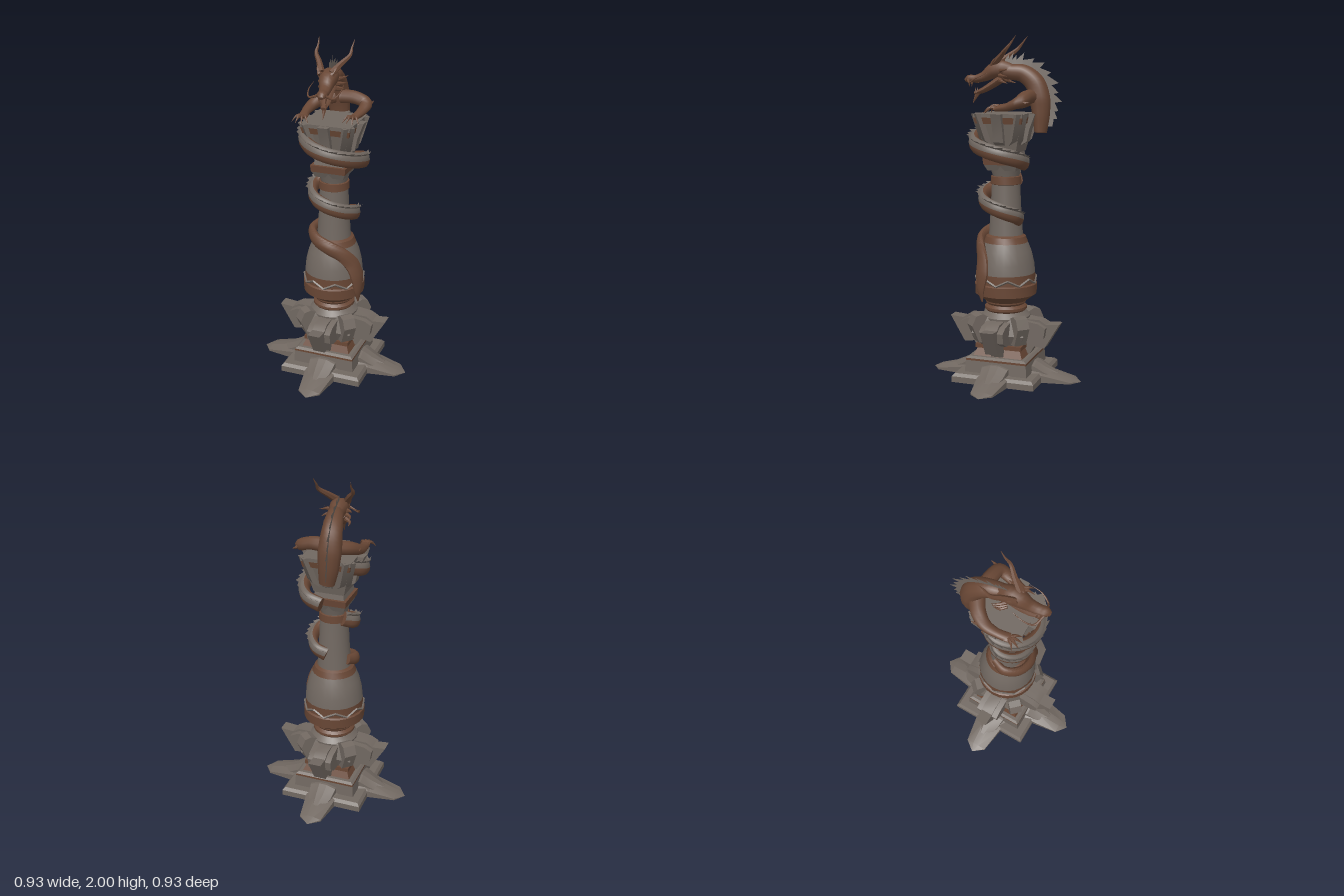
import * as THREE from 'three';
import { toCreasedNormals } from 'three/addons/utils/BufferGeometryUtils.js';

const stone = new THREE.MeshStandardMaterial({ color: 0x716861, side: THREE.DoubleSide });
stone.name = 'stone grey';
const bronze = new THREE.MeshStandardMaterial({ color: 0x694735, side: THREE.DoubleSide });
bronze.name = 'bronze brown';

const V = (x, y, z) => new THREE.Vector3(x, y, z);
const rad = THREE.MathUtils.degToRad;
const lerp = THREE.MathUtils.lerp;

function add(parent, name, geo, mat, crease = 0.6) {
  const mesh = new THREE.Mesh(toCreasedNormals(geo, crease), mat);
  mesh.name = name;
  parent.add(mesh);
}

function meshFrom(pos, index) {
  const geo = new THREE.BufferGeometry();
  geo.setAttribute('position', new THREE.Float32BufferAttribute(pos, 3));
  if (index) geo.setIndex(index);
  return geo;
}

// Square tapered block between two heights, hollow underneath
function square(parent, name, h0, h1, y0, y1, mat) {
  const pos = [], index = [4, 6, 5, 4, 7, 6];
  for (const [h, y] of [[h0, y0], [h1, y1]]) pos.push(-h, y, -h, h, y, -h, h, y, h, -h, y, h);
  for (let i = 0; i < 4; i++) {
    const k = (i + 1) % 4;
    index.push(i, i + 4, k, k, i + 4, k + 4);
  }
  add(parent, name, meshFrom(pos, index), mat, 0.2);
}

// Ridged leaf, open below; rows are [distance, half width, ridge height, edge height]
function leaf(parent, name, rows, angle) {
  const pos = [], index = [];
  rows.forEach(([d, w, h, e], r) => {
    pos.push(d, 0, w, d, e, w, d, h, w * 0.3, d, h, -w * 0.3, d, e, -w, d, 0, -w);
    for (let k = 0; r < rows.length - 1 && k < 5; k++) {
      const b = r * 6 + k;
      index.push(b, b + 6, b + 1, b + 1, b + 6, b + 7);
    }
  });
  add(parent, name, meshFrom(pos, index).rotateY(angle), stone, 0.25);
}

// Side profile (distance, height) extruded to a width and turned around the axis
function bracket(parent, name, profile, width, angle) {
  const shape = new THREE.Shape(profile.map(p => new THREE.Vector2(p[0], p[1])));
  const geo = new THREE.ExtrudeGeometry(shape, { depth: width, bevelEnabled: false });
  geo.translate(0, 0, -width / 2).rotateY(angle);
  add(parent, name, geo, stone);
}

// Frames along a smooth path; each point is [x, y, z, radiusU, radiusV]
function frames(pts, n, ref) {
  const curve = new THREE.CatmullRomCurve3(pts.map(p => V(p[0], p[1], p[2])));
  return Array.from({ length: n + 1 }, (_, i) => {
    const t = i / n, f = t * (pts.length - 1), k = Math.min(Math.floor(f), pts.length - 2);
    const p = curve.getPoint(t), tan = curve.getTangent(t), r = ref(p);
    const u = r.addScaledVector(tan, -r.dot(tan)).normalize();
    return {
      p, u, v: tan.clone().cross(u),
      ru: lerp(pts[k][3], pts[k + 1][3], f - k), rv: lerp(pts[k][4], pts[k + 1][4], f - k)
    };
  });
}

// Elliptical skin over the frames; with `striped` the outer upper quarter becomes stone
function skin(parent, name, fr, sides = 10, striped = false) {
  const pos = [], index = [[], []];
  fr.forEach(({ p, u, v, ru, rv }, i) => {
    for (let j = 0; j < sides; j++) {
      const a = j / sides * Math.PI * 2;
      const q = p.clone().addScaledVector(u, ru * Math.cos(a)).addScaledVector(v, rv * Math.sin(a));
      pos.push(q.x, q.y, q.z);
      if (i === fr.length - 1) continue;
      const k = (j + 1) % sides, b = i * sides, c = b + sides;
      const group = striped && j < sides * 0.25 ? 1 : 0;
      index[group].push(b + j, b + k, c + j, b + k, c + k, c + j);
    }
  });
  const last = (fr.length - 1) * sides;
  for (let j = 1; j < sides - 1; j++) index[0].push(0, j + 1, j, last, last + j, last + j + 1);
  const geo = meshFrom(pos, index.flat());
  geo.addGroup(0, index[0].length, 0);
  geo.addGroup(index[0].length, index[1].length, 1);
  add(parent, name, geo, [bronze, stone], 0.9);
}

// Row of swept-back triangular spines, along cu * u + cv * v
function spines(parent, name, fr, cu, cv, height) {
  const pos = [];
  const out = (f, h) => f.p.clone().addScaledVector(f.u, cu * (f.ru * 0.9 + h)).addScaledVector(f.v, cv * (f.rv * 0.9 + h));
  for (let i = 0; i < fr.length - 1; i++) {
    const grow = Math.min(1, 0.5 + i * 0.2);
    const a = out(fr[i], 0), b = out(fr[i + 1], 0);
    const tip = out(fr[i], height * grow * (0.8 + 0.2 * (i % 2))), mid = out(fr[i + 1], height * 0.4);
    for (const q of [a, b, mid, a, mid, tip]) pos.push(q.x, q.y, q.z);
  }
  add(parent, name, meshFrom(pos), stone);
}

const sideways = () => V(1, 0, 0);
const upward = () => V(0, 1, 0);
const radial = p => V(p.x, 0, p.z);

// Thin tapering spike through a few points
function spike(parent, name, pts, r, ref = sideways) {
  const n = pts.length - 1;
  skin(parent, name, frames(pts.map((p, i) => [...p, r * (1 - i / n) + 0.001, r * (1 - i / n) + 0.001]), n * 4, ref), 6);
}

function buildBase(g) {
  square(g, 'plinth', 0.25, 0.25, 0, 0.035, stone);
  square(g, 'plinthBevel', 0.25, 0.235, 0.035, 0.052, stone);
  square(g, 'plinthStep', 0.19, 0.185, 0.052, 0.122, stone);
  square(g, 'baseTrim', 0.185, 0.185, 0.122, 0.134, bronze);
  square(g, 'baseLedge', 0.185, 0.17, 0.134, 0.145, stone);
  square(g, 'baseTaper', 0.15, 0.13, 0.145, 0.19, bronze);
  square(g, 'baseRim', 0.14, 0.14, 0.19, 0.215, bronze);
  square(g, 'bracketCore', 0.125, 0.16, 0.215, 0.28, stone);
  square(g, 'bracketCoreTop', 0.16, 0.125, 0.28, 0.375, stone);
  for (let i = 0; i < 4; i++) {
    const a = i * Math.PI / 2;
    leaf(g, 'groundLeaf', [[0.15, 0.1, 0.105, 0.06], [0.26, 0.09, 0.062, 0.04], [0.415, 0.066, 0.022, 0.01], [0.465, 0.001, 0, 0]], a);
    leaf(g, 'innerLeaf', [[0.14, 0.085, 0.115, 0.1], [0.2, 0.08, 0.108, 0.09], [0.26, 0.07, 0.075, 0.055], [0.34, 0.04, 0.04, 0.02]], a);
    // Flaring bracket with wider shoulders and a short drop
    bracket(g, 'bracket', [[0.1, 0.22], [0.17, 0.2], [0.25, 0.19], [0.34, 0.342], [0.26, 0.335], [0.22, 0.36], [0.1, 0.36]], 0.075, a);
    bracket(g, 'bracketShoulder', [[0.1, 0.22], [0.2, 0.23], [0.255, 0.26], [0.265, 0.32], [0.22, 0.345], [0.1, 0.36]], 0.145, a);
    bracket(g, 'bracketDrop', [[0.12, 0.15], [0.16, 0.15], [0.19, 0.2], [0.12, 0.22]], 0.07, a);
    bracket(g, 'cornerBlock', [[0.08, 0.22], [0.19, 0.225], [0.235, 0.33], [0.21, 0.385], [0.17, 0.395], [0.08, 0.35]], 0.075, a + Math.PI / 4);
  }
}

function buildPillar(g) {
  // Turned bands: name, material, profile of [radius, height]
  const bands = [
    ['lowerCollar', stone, [[0.14, 0.33], [0.145, 0.37], [0.115, 0.4]]],
    ['neckRing', bronze, [[0.11, 0.395], [0.125, 0.41], [0.125, 0.425], [0.11, 0.44], [0.12, 0.452], [0.12, 0.46]]],
    ['bulbFlare', bronze, [[0.12, 0.46], [0.182, 0.505]]],
    ['bulbBand', bronze, [[0.182, 0.505], [0.184, 0.565], [0.174, 0.572]]],
    ['bulbStripe', bronze, [[0.174, 0.572], [0.173, 0.63]]],
    ['bulb', stone, [[0.173, 0.63], [0.167, 0.69], [0.15, 0.76], [0.13, 0.81]]],
    ['bulbCap', bronze, [[0.13, 0.81], [0.117, 0.845], [0.1, 0.855]]],
    ['shaft', stone, [[0.1, 0.855], [0.09, 1.0], [0.083, 1.15]]],
    ['shaftRing', bronze, [[0.083, 1.15], [0.09, 1.153], [0.088, 1.197], [0.08, 1.2]]],
    ['shaftFlare', stone, [[0.078, 1.2], [0.088, 1.235], [0.1, 1.27]]]
  ];
  for (const [name, mat, prof] of bands)
    add(g, name, new THREE.LatheGeometry(prof.map(p => new THREE.Vector2(p[0], p[1])), 24), mat);
  // Zigzag ridge around the bulb
  const zig = new THREE.CurvePath(), at = i => {
    const a = i / 16 * Math.PI * 2;
    return V(0.178 * Math.sin(a), i % 2 ? 0.605 : 0.572, 0.178 * Math.cos(a));
  };
  for (let i = 0; i < 16; i++) zig.add(new THREE.LineCurve3(at(i), at(i + 1)));
  add(g, 'zigzagRidge', new THREE.TubeGeometry(zig, 64, 0.007, 4), stone);
}

function buildCapital(g) {
  square(g, 'capitalFoot', 0.085, 0.1, 1.235, 1.268, stone);
  square(g, 'capitalTrim', 0.102, 0.107, 1.268, 1.308, bronze);
  square(g, 'capitalNeck', 0.09, 0.085, 1.308, 1.34, stone);
  square(g, 'capitalBody', 0.09, 0.13, 1.34, 1.505, stone);
  square(g, 'capitalBand', 0.138, 0.146, 1.505, 1.54, bronze);
  square(g, 'capitalTop', 0.146, 0.148, 1.54, 1.562, stone);
  for (let i = 0; i < 4; i++) {
    const a = i * Math.PI / 2;
    bracket(g, 'capitalBracket', [[0.08, 1.37], [0.135, 1.4], [0.15, 1.47], [0.185, 1.56], [0.08, 1.56]], 0.06, a);
    bracket(g, 'capitalCorner', [[0.08, 1.36], [0.15, 1.41], [0.205, 1.56], [0.08, 1.56]], 0.07, a + Math.PI / 4);
  }
}

// Helical stretch of the body, angles measured from the front
function coil(a0, a1, y0, y1, rEnd, rMid, thick, tall) {
  return Array.from({ length: 10 }, (_, i) => {
    const t = i / 9, a = rad(lerp(a0, a1, t)), r = lerp(rEnd, rMid, Math.sqrt(Math.sin(Math.PI * t) + 1e-9));
    return [r * Math.sin(a), lerp(y0, y1, t), r * Math.cos(a), thick, tall];
  });
}

function buildCoils(g) {
  // Tail hangs on the bulb, then wraps over its top
  const tail = [[66, 0.48, 0.2, 0.003, 0.005], [64, 0.55, 0.205, 0.012, 0.028], [64, 0.64, 0.195, 0.02, 0.047],
    [58, 0.72, 0.175, 0.022, 0.047], [38, 0.785, 0.155, 0.025, 0.042], [8, 0.828, 0.145, 0.025, 0.042],
    [-30, 0.858, 0.135, 0.025, 0.042], [-70, 0.888, 0.125, 0.025, 0.038], [-110, 0.91, 0.1, 0.02, 0.03]];
  skin(g, 'tail', frames(tail.map(([a, y, r, u, v]) => [r * Math.sin(rad(a)), y, r * Math.cos(rad(a)), u, v]), 40, radial));
  const mid = frames(coil(170, -125, 0.95, 1.18, 0.09, 0.135, 0.028, 0.044), 44, radial);
  const top = frames(coil(165, -120, 1.28, 1.51, 0.13, 0.185, 0.032, 0.046), 44, radial);
  for (const [name, fr] of [['middleCoil', mid], ['upperCoil', top]]) {
    skin(g, name, fr, 12, true);
    spines(g, name + 'Spines', fr.filter((_, i) => i % 2 === 0), 0.75, 0.65, 0.032);
  }
}

function buildDragon(g) {
  // Neck arching up over the back of the capital
  const neck = frames([[-0.03, 1.45, -0.2, 0.045, 0.035], [-0.04, 1.54, -0.2, 0.06, 0.05], [-0.045, 1.64, -0.19, 0.068, 0.062],
    [-0.045, 1.73, -0.16, 0.06, 0.06], [-0.035, 1.785, -0.095, 0.05, 0.052], [-0.02, 1.795, -0.03, 0.045, 0.045], [-0.015, 1.8, 0.02, 0.045, 0.045]], 28, sideways);
  skin(g, 'neck', neck, 12);
  spines(g, 'neckSpines', neck.filter((_, i) => i % 2 === 0 && i > 1), -0.15, 1, 0.07);

  // Head, jaw and beard
  skin(g, 'head', frames([[-0.02, 1.8, -0.03, 0.04, 0.04], [-0.015, 1.81, 0.03, 0.055, 0.052], [-0.008, 1.8, 0.08, 0.05, 0.046],
    [0, 1.77, 0.13, 0.036, 0.03], [0.008, 1.756, 0.18, 0.03, 0.022], [0.014, 1.757, 0.22, 0.03, 0.022], [0.018, 1.745, 0.243, 0.014, 0.01]], 20, sideways));
  skin(g, 'jaw', frames([[-0.015, 1.765, 0.02, 0.036, 0.025], [-0.008, 1.725, 0.08, 0.034, 0.022], [0.002, 1.69, 0.14, 0.028, 0.017], [0.01, 1.672, 0.19, 0.014, 0.01]], 12, sideways), 8);
  spike(g, 'beard', [[0.008, 1.675, 0.17], [0.01, 1.645, 0.185], [0.01, 1.615, 0.2]], 0.014);
  for (const s of [-1, 1]) {
    const x = v => -0.018 + s * v;
    spike(g, 'horn', [[x(0.03), 1.84, 0.07], [x(0.065), 1.885, 0.015], [x(0.1), 1.925, -0.03], [x(0.1), 1.96, -0.06], [x(0.106), 2.0, -0.09]], 0.02);
    spike(g, 'browSpike', [[x(0.035), 1.83, 0.08], [x(0.055), 1.865, 0.055], [x(0.065), 1.88, 0.02]], 0.014);
    for (let i = 0; i < 3; i++)
      spike(g, 'cheekSpike', [[x(0.04), 1.8 - i * 0.025, 0.03], [x(0.07), 1.805 - i * 0.032, 0.005], [x(0.092 - i * 0.01), 1.81 - i * 0.04, -0.03]], 0.013, upward);
    spike(g, 'whisker', [[0.014 + s * 0.02, 1.755, 0.22], [s * 0.07, 1.735, 0.2], [s * 0.092, 1.76, 0.15], [s * 0.088, 1.79, 0.08]], 0.007, upward);
    spike(g, 'fang', [[0.014 + s * 0.02, 1.74, 0.21], [0.014 + s * 0.02, 1.725, 0.212], [0.014 + s * 0.018, 1.71, 0.214]], 0.007);
    spike(g, 'lowerFang', [[0.008 + s * 0.014, 1.675, 0.175], [0.008 + s * 0.015, 1.69, 0.178], [0.008 + s * 0.015, 1.705, 0.18]], 0.006);
  }

  // Forelegs resting on the capital
  const legs = [
    [[-0.06, 1.65, -0.15, 0.042, 0.048], [-0.125, 1.635, -0.1, 0.038, 0.042], [-0.158, 1.61, -0.04, 0.03, 0.034], [-0.16, 1.595, 0.03, 0.02, 0.026], [-0.148, 1.588, 0.1, 0.014, 0.028]],
    [[-0.01, 1.655, -0.15, 0.042, 0.045], [0.075, 1.655, -0.145, 0.038, 0.04], [0.142, 1.632, -0.13, 0.034, 0.038], [0.14, 1.602, -0.06, 0.024, 0.03], [0.122, 1.588, 0.02, 0.014, 0.026]]
  ];
  for (const leg of legs) {
    skin(g, 'foreleg', frames(leg, 20, upward));
    const [x, y, z] = leg[4], [ex, ey, ez] = leg[2], out = Math.sign(x);
    for (let i = 0; i < 4; i++) {
      const a = rad(-50 + i * 32), dx = Math.sin(a), dz = Math.cos(a);
      spike(g, 'claw', [[x, y, z - 0.01], [x + dx * 0.035, y + 0.008, z + dz * 0.035], [x + dx * 0.065, y - 0.022, z + dz * 0.07]], 0.014);
    }
    spike(g, 'elbowSpike', [[ex, ey, ez], [ex + out * 0.02, 1.625, ez - 0.04], [ex + out * 0.025, 1.63, ez - 0.07]], 0.014);
  }
}

export function createModel() {
  const model = new THREE.Group();
  model.name = 'dragonPillar';
  for (const [name, build] of [['base', buildBase], ['pillar', buildPillar], ['capital', buildCapital], ['coils', buildCoils], ['dragon', buildDragon]]) {
    const g = new THREE.Group();
    g.name = name;
    build(g);
    model.add(g);
  }
  return model;
}
